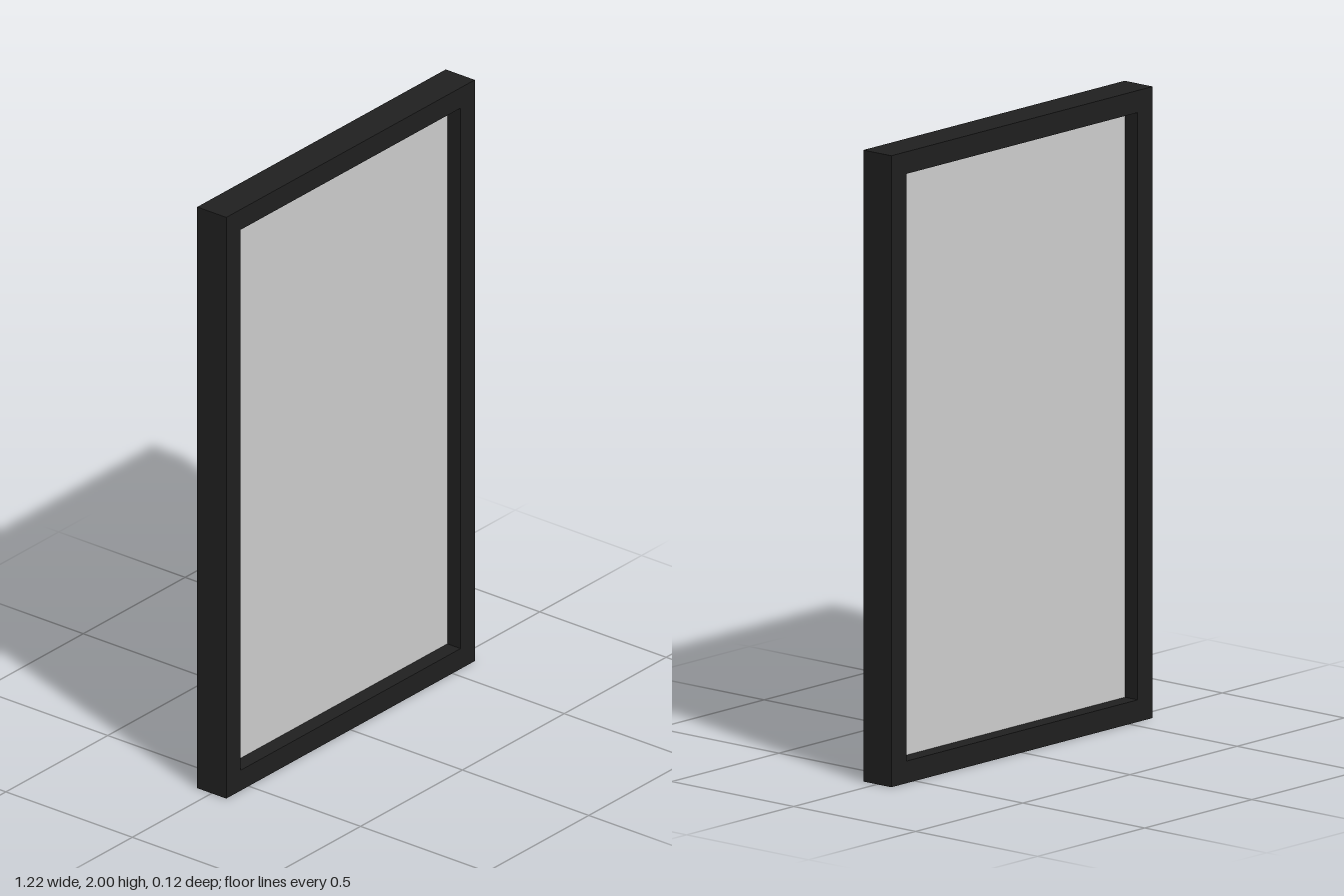
import * as THREE from 'three';

const W = 1.22, H = 2, D = 0.115, BORDER = 0.07;

// Rectangle centred on the origin, traced into a Shape or Path
function rect(path, w, h) {
  path.moveTo(-w / 2, -h / 2);
  path.lineTo(w / 2, -h / 2);
  path.lineTo(w / 2, h / 2);
  path.lineTo(-w / 2, h / 2);
  path.closePath();
  return path;
}

export function createModel() {
  const group = new THREE.Group();
  group.name = 'framedPanel';
  const openW = W - 2 * BORDER, openH = H - 2 * BORDER;

  // Dark square-edged frame with a rectangular opening
  const outline = rect(new THREE.Shape(), W, H);
  outline.holes.push(rect(new THREE.Path(), openW, openH));
  const frameGeometry = new THREE.ExtrudeGeometry(outline, { depth: D, bevelEnabled: false });
  frameGeometry.translate(0, H / 2, -D / 2);
  const frame = new THREE.Mesh(frameGeometry, new THREE.MeshStandardMaterial({ color: 0x1f1f1f }));
  frame.name = 'frame';
  group.add(frame);

  // Thin pane set midway through the frame's depth
  const pane = new THREE.Mesh(
    new THREE.BoxGeometry(openW, openH, 0.01),
    new THREE.MeshStandardMaterial({ color: 0xcccccc })
  );
  pane.name = 'pane';
  pane.position.y = H / 2;
  group.add(pane);

  return group;
}
